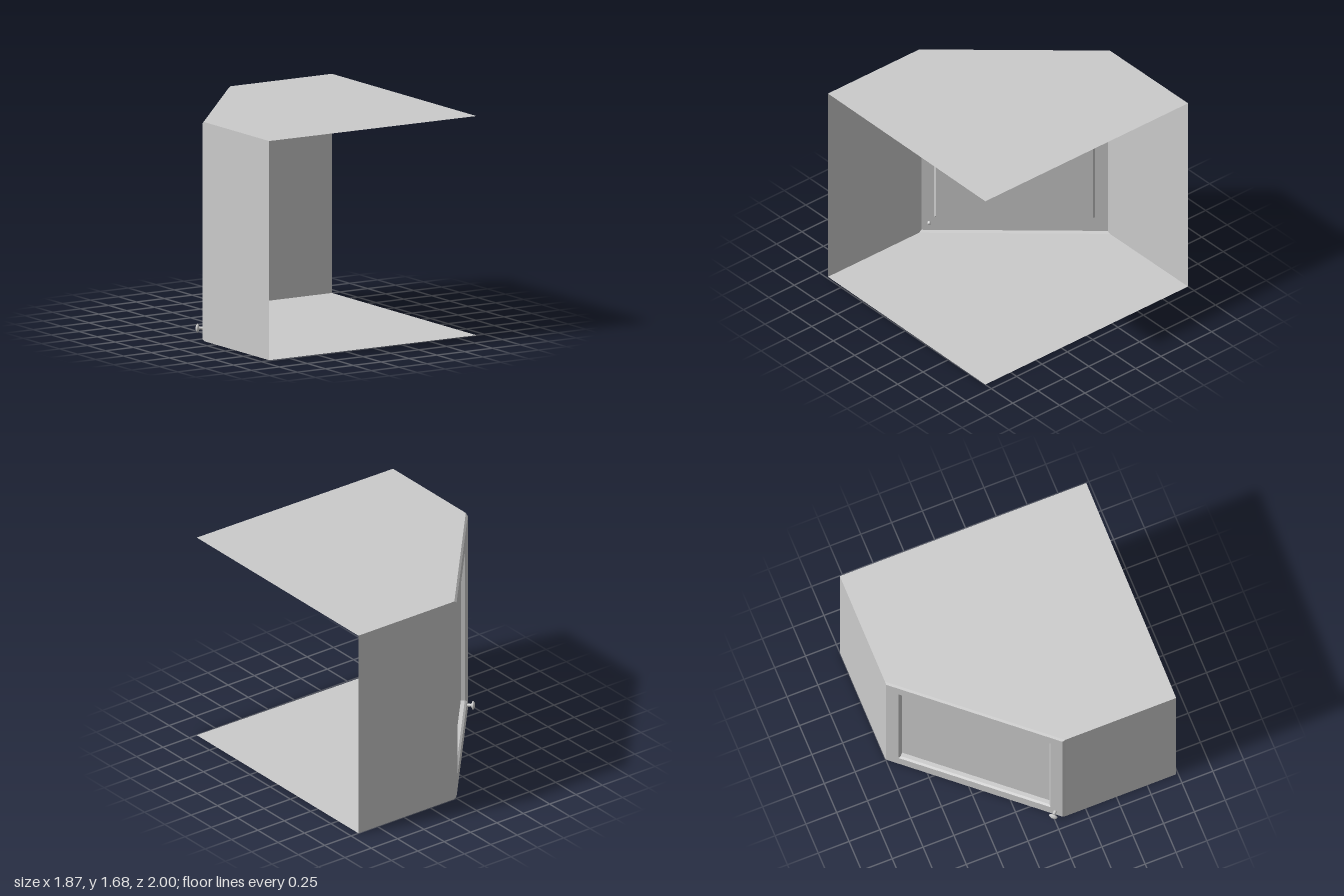
import * as THREE from 'three';

const H = 1.68;
const material = new THREE.MeshStandardMaterial({ color: 0xcccccc, side: THREE.DoubleSide });

function addMesh(parent, name, geometry) {
  const mesh = new THREE.Mesh(geometry, material);
  mesh.name = name;
  parent.add(mesh);
  return mesh;
}

// Sheet geometry made of flat four-cornered faces
function quads(list) {
  const pos = [];
  for (const [a, b, c, d] of list) pos.push(...a, ...b, ...c, ...a, ...c, ...d);
  const g = new THREE.BufferGeometry();
  g.setAttribute('position', new THREE.Float32BufferAttribute(pos, 3));
  g.computeVertexNormals();
  return g;
}

export function createModel() {
  const model = new THREE.Group();
  model.name = 'cornerCabinet';

  // Plan of the cabinet as [x, z]; the door spans the diagonal from A to B
  const A = [0.02, -1], B = [-0.92, 0.085];
  const plan = [A, B, [-0.92, 0.985], [0.93, 1], [0.93, -1]];

  // Top and bottom boards
  const outline = new THREE.Shape(plan.map(([x, z]) => new THREE.Vector2(x, -z)));
  for (const [name, y] of [['bottomBoard', 0], ['topBoard', H]]) {
    const board = new THREE.ShapeGeometry(outline);
    board.rotateX(-Math.PI / 2);
    addMesh(model, name, board).position.y = y;
  }

  // Two upright walls; the sides against the room corner stay open
  const wall = (p, q) => quads([[[p[0], 0, p[1]], [p[0], H, p[1]], [q[0], H, q[1]], [q[0], 0, q[1]]]]);
  addMesh(model, 'sideWall', wall(plan[1], plan[2]));
  addMesh(model, 'backWall', wall(plan[4], plan[0]));

  // Door: local x runs from A to B, local z points out of the cabinet
  const dx = B[0] - A[0], dz = B[1] - A[1];
  const L = Math.hypot(dx, dz);
  const door = new THREE.Group();
  door.name = 'door';
  door.position.set(A[0], 0, A[1]);
  door.rotation.y = Math.atan2(-dz, dx);
  model.add(door);

  // Nested rectangles: [side inset, top and bottom inset, depth]
  const rings = [
    [0, 0, 0], [0.016, 0.016, 0.016],
    [0.112, 0.14, 0.016], [0.126, 0.152, 0],
    [0.126, 0.152, -0.03],
  ].map(([i, j, z]) => [[i, j, z], [L - i, j, z], [L - i, H - j, z], [i, H - j, z]]);
  const faces = [];
  for (let r = 0; r < rings.length - 1; r++) {
    for (let k = 0; k < 4; k++) {
      const n = (k + 1) % 4;
      faces.push([rings[r][k], rings[r][n], rings[r + 1][n], rings[r + 1][k]]);
    }
  }
  addMesh(door, 'doorFrame', quads(faces));
  addMesh(door, 'doorPanel', quads([rings[rings.length - 1]]));

  // Round knob with a stem that passes through the door
  const profile = [
    [0, -0.022], [0.012, -0.022], [0.013, 0], [0.011, 0.028], [0.02, 0.034],
    [0.031, 0.038], [0.034, 0.043], [0.031, 0.049], [0.02, 0.056], [0, 0.06],
  ].map(([r, y]) => new THREE.Vector2(r, y));
  const knob = addMesh(door, 'knob', new THREE.LatheGeometry(profile, 24));
  knob.rotation.x = Math.PI / 2;
  knob.position.set(L - 0.075, 0.085, 0.016);

  return model;
}
